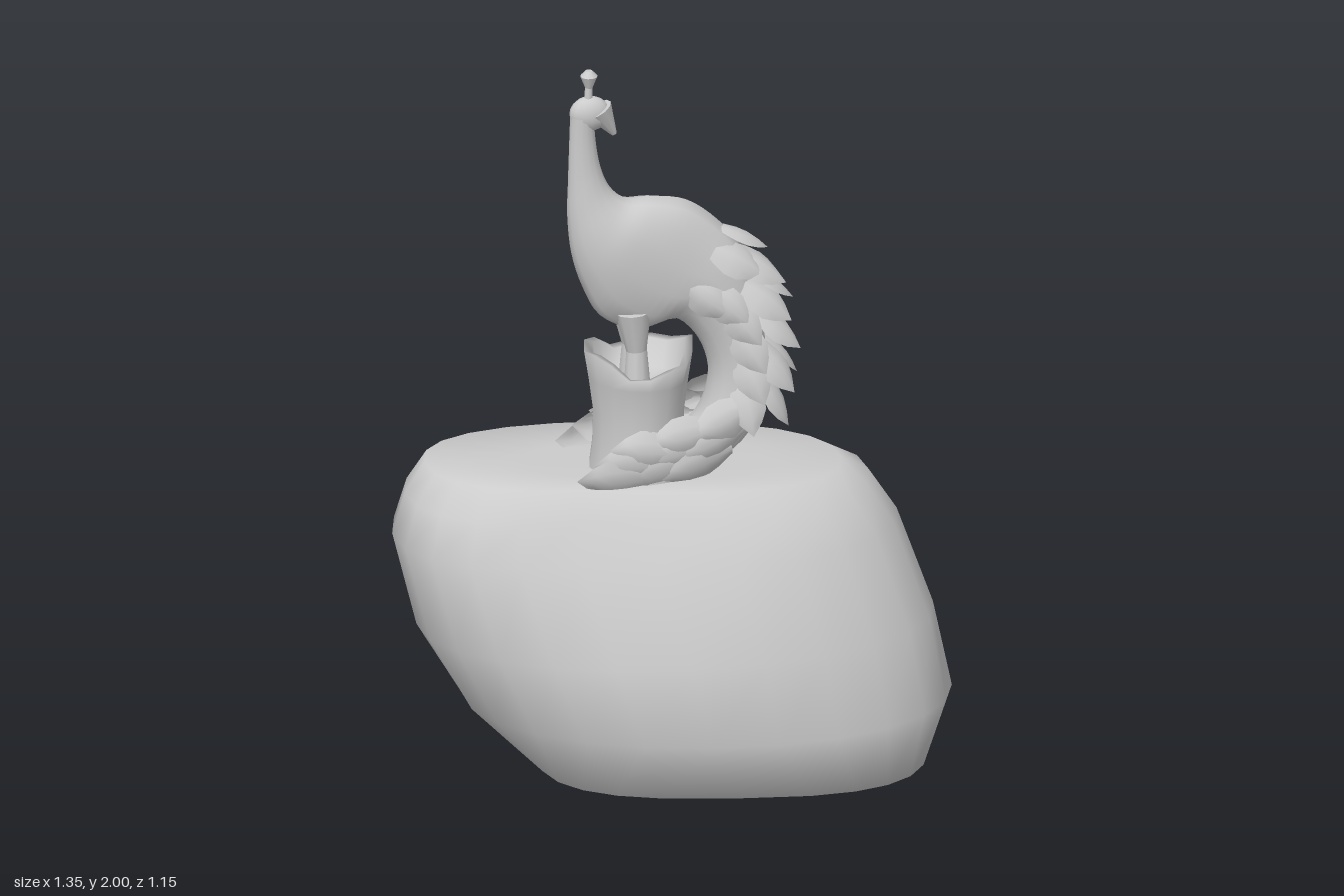
import * as THREE from 'three';
import { mergeVertices } from 'three/addons/utils/BufferGeometryUtils.js';

const material = new THREE.MeshStandardMaterial({ color: 0xcccccc, side: THREE.DoubleSide });
const V = (x, y, z) => new THREE.Vector3(x, y, z);

// Smooth surface from a rule place(u, v) -> Vector3, with u and v in 0..1
function surface(cols, rows, place) {
  const geo = new THREE.PlaneGeometry(1, 1, cols, rows);
  const pos = geo.attributes.position;
  for (let i = 0; i < pos.count; i++) {
    const p = place((i % (cols + 1)) / cols, Math.floor(i / (cols + 1)) / rows);
    pos.setXYZ(i, p.x, p.y, p.z);
  }
  geo.deleteAttribute('uv');
  geo.deleteAttribute('normal');
  const merged = mergeVertices(geo, 1e-4);
  merged.computeVertexNormals();
  return merged;
}

function add(parent, name, geo) {
  const mesh = new THREE.Mesh(geo, material);
  mesh.name = name;
  parent.add(mesh);
  return mesh;
}

// Boulder: tilted oval rings, with a round opening underneath
// each ring: height, centre x, centre z, half length, half width, squareness, turn in degrees
const RINGS = [
  [0.005, 0.1, -0.03, 0.46, 0.245, 2, -49], [0, 0.15, -0.07, 0.53, 0.35, 2.8, -54],
  [0.17, 0.085, -0.05, 0.665, 0.425, 2.1, -54], [0.4, 0.02, 0.01, 0.705, 0.41, 2.15, -50],
  [0.65, -0.075, 0.015, 0.69, 0.38, 2.3, -49], [0.76, -0.1, 0.015, 0.635, 0.33, 2.3, -49],
  [0.824, -0.11, 0.02, 0.57, 0.27, 2.3, -49], [0.832, -0.07, 0.02, 0.33, 0.16, 2, -49],
  [0.828, -0.05, 0.03, 0, 0, 2, -49],
];
const power = (x, n) => Math.sign(x) * Math.pow(Math.abs(x), 2 / n);
function boulder() {
  return surface(24, RINGS.length - 1, (u, v) => {
    const [y, cx, cz, a, b, n, turn] = RINGS[Math.round(v * (RINGS.length - 1))];
    const ang = u * Math.PI * 2;
    // shallow dent high on one flank
    const dent = y > 0.6 ? 0.16 * Math.exp(-Math.pow((ang - Math.PI * 1.56) / 0.4, 2)) : 0;
    const p = V(-power(Math.sin(ang), n) * b * (1 - dent), 0, power(Math.cos(ang), n) * a);
    p.y = y + (y > 0.8 ? 0.04 * p.z : 0);
    p.applyAxisAngle(V(0, 1, 0), THREE.MathUtils.degToRad(turn));
    return p.add(V(cx, 0, cz));
  });
}

// Bird from throat to tail end, each section:
// breast/underside point (forward, height), back point (forward, height), half width
const SECTIONS = [
  [0.278, 1.87, 0.212, 1.87, 0.03], [0.281, 1.78, 0.208, 1.8, 0.031], [0.284, 1.68, 0.195, 1.72, 0.037],
  [0.286, 1.58, 0.168, 1.655, 0.05], [0.275, 1.47, 0.12, 1.618, 0.07], [0.245, 1.37, 0.045, 1.618, 0.085],
  [0.195, 1.28, -0.045, 1.6, 0.088], [0.1, 1.235, -0.13, 1.535, 0.086], [0.0, 1.26, -0.195, 1.45, 0.085],
  [-0.065, 1.21, -0.24, 1.32, 0.085], [-0.1, 1.13, -0.262, 1.18, 0.085], [-0.1, 1.05, -0.255, 1.04, 0.09],
  [-0.07, 0.97, -0.215, 0.92, 0.1], [0.0, 0.91, -0.12, 0.845, 0.11], [0.09, 0.88, 0.01, 0.82, 0.11],
];
const curve = (pick) => new THREE.CatmullRomCurve3(SECTIONS.map(pick), false, 'catmullrom');
const under = curve(([s, y]) => V(0, y, s));
const back = curve(([, , s, y]) => V(0, y, s));
const width = curve(([, , , , w]) => V(w, 0, 0));
const SIDE = V(1, 0, 0);

// Point on the bird's skin with its outward direction and the spine direction
function skin(t, ang) {
  const a = under.getPoint(t), b = back.getPoint(t);
  const half = a.clone().sub(b).multiplyScalar(0.5);
  const inner = half.clone().normalize();
  const point = a.add(b).multiplyScalar(0.5).addScaledVector(half, Math.cos(ang))
    .addScaledVector(SIDE, Math.sin(ang) * width.getPoint(t).x);
  const tangent = SIDE.clone().cross(inner);
  const out = inner.multiplyScalar(Math.cos(ang)).addScaledVector(SIDE, Math.sin(ang));
  return { point, out, tangent };
}

// Pointed, ridged leaf of unit length along +y, facing +z
const leaf = surface(4, 5, (u, v) => {
  const half = v < 0.5 ? 0.35 + 0.65 * Math.sin(v * Math.PI) : Math.cos((v - 0.5) * Math.PI);
  const across = 1 - 2 * u;
  return V(across * 0.3 * half, v, 0.13 * half * (1 - across * across) + 0.08 * v * v);
});

function feather(parent, root, along, out, length, lift) {
  const y = along.clone().normalize().addScaledVector(out, lift).normalize();
  const x = y.clone().cross(out).normalize();
  const z = x.clone().cross(y);
  const mesh = add(parent, 'feather', leaf);
  mesh.setRotationFromMatrix(new THREE.Matrix4().makeBasis(x, y, z));
  mesh.position.copy(root);
  mesh.scale.setScalar(length);
}

const STUMP = 0.085; // forward position of the stump

function tailFeathers() {
  const group = new THREE.Group();
  group.name = 'tailFeathers';
  // overlapping rows down the arched train
  for (let row = 0; row < 6; row++) {
    const count = row % 2 ? 4 : 5;
    for (let i = 0; i < count; i++) {
      const ang = Math.PI + (i / (count - 1) - 0.5) * 3.1;
      const { point, out, tangent } = skin(0.5 + row * 0.05, ang);
      feather(group, point.addScaledVector(out, -0.02), tangent, out, 0.17 + 0.015 * (i % 2), 0.1 + 0.04 * row);
    }
  }
  // train ends sweeping down, forward and up along both sides of the stump
  for (const side of [-1, 1]) {
    for (let layer = 0; layer < 3; layer++) {
      for (let k = 0; k < 3; k++) {
        const out = V(side, -0.3 + 0.2 * layer, 0).normalize();
        const root = V(side * (0.085 + 0.02 * k), 0.9 + 0.06 * layer - (0.025 + 0.015 * layer) * k, -0.15 + 0.105 * k - 0.03 * layer);
        const along = V(side * (0.12 - 0.06 * k), -0.25 - 0.08 * layer + (0.16 + 0.06 * layer) * k, 1);
        feather(group, root, along, out, 0.23 - 0.015 * layer, 0.03);
      }
    }
  }
  return group;
}

// Hollow stump with a broken rim: radius and height from foot to hollow floor
function stump() {
  const wall = [[0.14, 0.8], [0.128, 0.9], [0.125, 1.0], [0.138, 1.1], [0.15, 1.165], [0.128, 1.16], [0.105, 1.08], [0, 1.07]];
  return surface(16, wall.length - 1, (u, v) => {
    const row = Math.round(v * (wall.length - 1));
    const [r, h] = wall[row];
    const a = u * Math.PI * 2;
    const rim = row === 4 || row === 5 ? 0.025 * Math.cos(2 * a) - 0.012 * Math.cos(5 * a) : 0;
    const bulge = 1 + 0.035 * Math.sin(3 * a + 1);
    return V(-Math.sin(a) * r * bulge, h + rim, Math.cos(a) * r * bulge);
  });
}

// Tapered round piece from one point to another
function limb(parent, name, from, to, r0, r1) {
  const mesh = add(parent, name, new THREE.CylinderGeometry(r1, r0, from.distanceTo(to), 10));
  mesh.position.copy(from).lerp(to, 0.5);
  mesh.quaternion.setFromUnitVectors(V(0, 1, 0), to.clone().sub(from).normalize());
}

export function createModel() {
  const model = new THREE.Group();
  model.name = 'birdOnBoulder';
  add(model, 'boulder', boulder());

  // Bird and stump face the boulder's long axis
  const bird = new THREE.Group();
  bird.name = 'bird';
  bird.rotation.y = -Math.PI / 4;
  model.add(bird);

  add(bird, 'stump', stump()).position.z = STUMP;
  add(bird, 'body', surface(14, 56, (u, v) => skin(v, u * Math.PI * 2).point));
  bird.add(tailFeathers());

  // Head looking back over the body
  const head = add(bird, 'head', new THREE.SphereGeometry(1, 14, 10));
  head.scale.set(0.034, 0.05, 0.056);
  head.position.set(0, 1.875, 0.224);
  limb(bird, 'beak', V(0, 1.885, 0.2), V(0, 1.81, 0.156), 0.04, 0.008);

  // Crest
  limb(bird, 'crestStem', V(0, 1.9, 0.228), V(0, 1.96, 0.226), 0.013, 0.01);
  limb(bird, 'crestFan', V(0, 1.95, 0.226), V(0, 1.985, 0.226), 0.01, 0.024);
  limb(bird, 'crestTip', V(0, 1.985, 0.226), V(0, 2, 0.226), 0.024, 0.01);

  // Legs standing in the stump
  for (const side of [-1, 1]) {
    limb(bird, 'thigh', V(side * 0.03, 1.18, 0.1), V(side * 0.032, 1.3, 0.11), 0.028, 0.05);
    limb(bird, 'foot', V(side * 0.036, 1.07, 0.1), V(side * 0.03, 1.19, 0.1), 0.038, 0.028);
  }
  return model;
}
